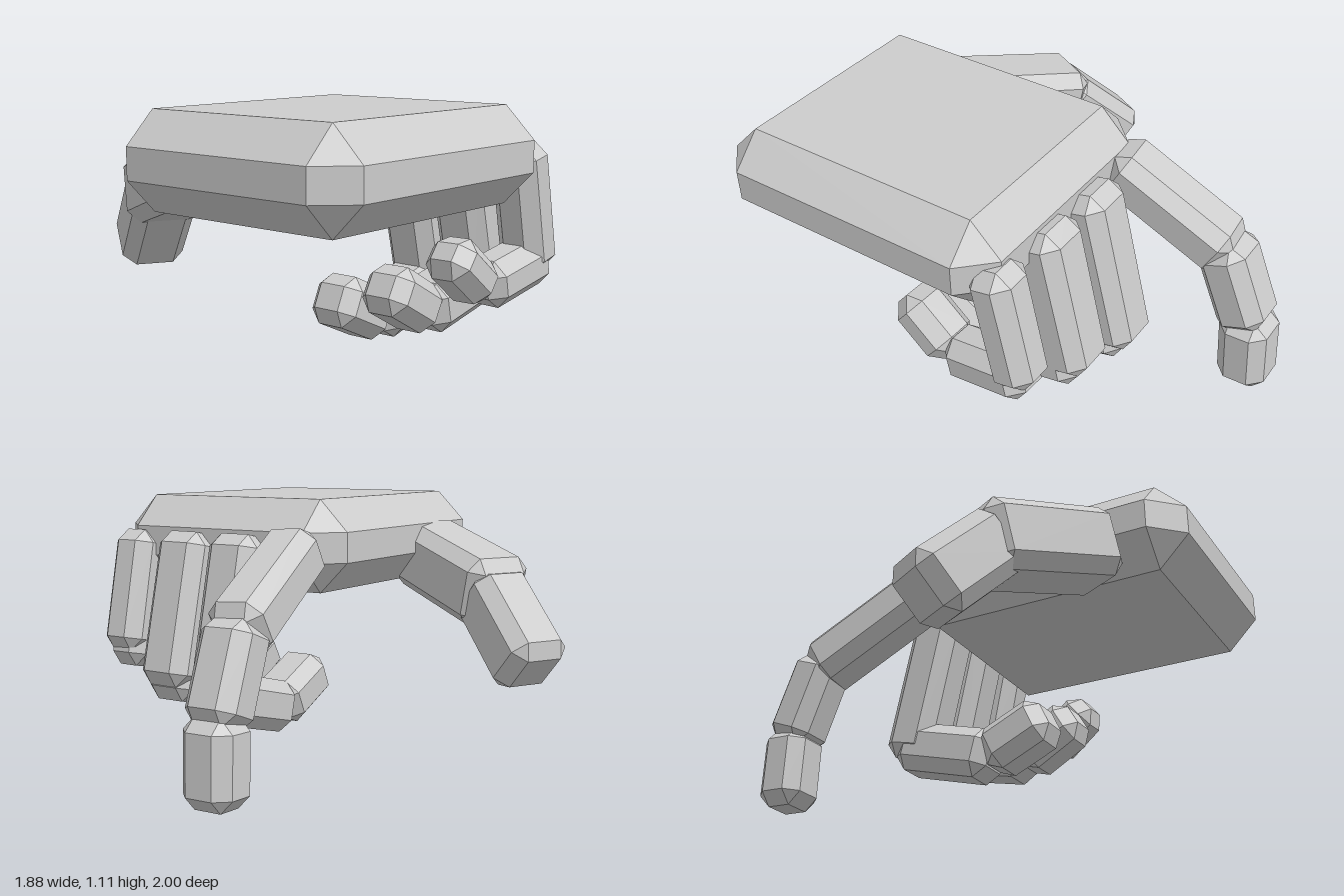
import * as THREE from 'three';
import { ConvexGeometry } from 'three/addons/geometries/ConvexGeometry.js';

const grey = new THREE.MeshStandardMaterial({ color: 0xcccccc });
grey.name = 'grey';

// Box with every edge cut at an angle: each corner becomes a small triangle
function bevelledBox(w, h, d, bevel) {
  const half = [w / 2, h / 2, d / 2];
  const points = [];
  for (const sx of [-1, 1]) for (const sy of [-1, 1]) for (const sz of [-1, 1]) {
    for (let outer = 0; outer < 3; outer++) {
      const [x, y, z] = half.map((v, i) => (i === outer ? v : v - bevel));
      points.push(new THREE.Vector3(sx * x, sy * y, sz * z));
    }
  }
  return new ConvexGeometry(points);
}

// Bevelled bone running from a to b; sideHint sets its roll
function bone(name, a, b, width, thickness, sideHint) {
  const start = new THREE.Vector3(...a), end = new THREE.Vector3(...b);
  const dir = end.clone().sub(start);
  const length = dir.length();
  dir.normalize();
  const side = new THREE.Vector3(...sideHint);
  side.addScaledVector(dir, -side.dot(dir)).normalize();
  const up = new THREE.Vector3().crossVectors(dir, side);
  const mesh = new THREE.Mesh(bevelledBox(width, thickness, length, 0.055), grey);
  mesh.quaternion.setFromRotationMatrix(new THREE.Matrix4().makeBasis(side, up, dir));
  mesh.position.copy(start).add(end).multiplyScalar(0.5);
  mesh.name = name;
  return mesh;
}

// side: roll hint; bones: [from, to, width, thickness]
const digits = {
  indexFinger: { side: [1, 0, 0], bones: [
    [[-0.03, 0.92, -0.25], [-0.09, 0.625, -0.77], 0.24, 0.235],
    [[-0.085, 0.68, -0.735], [-0.09, 0.30, -0.885], 0.235, 0.22],
    [[-0.09, 0.35, -0.88], [-0.095, 0, -0.895], 0.23, 0.215],
  ] },
  middleFinger: { side: [1, 0, 0], bones: [
    [[0.23, 0.95, -0.28], [0.23, 0.24, -0.45], 0.245, 0.23],
    [[0.23, 0.31, -0.49], [0.235, 0.19, -0.04], 0.24, 0.22],
    [[0.235, 0.19, -0.07], [0.235, 0.325, 0.225], 0.23, 0.215],
  ] },
  ringFinger: { side: [1, 0, 0], bones: [
    [[0.51, 0.95, -0.27], [0.515, 0.31, -0.42], 0.245, 0.22],
    [[0.515, 0.37, -0.46], [0.51, 0.27, 0], 0.24, 0.215],
    [[0.51, 0.26, -0.04], [0.505, 0.415, 0.235], 0.225, 0.205],
  ] },
  littleFinger: { side: [1, 0, 0], bones: [
    [[0.80, 0.95, -0.255], [0.80, 0.43, -0.365], 0.205, 0.195],
    [[0.80, 0.475, -0.41], [0.775, 0.40, -0.03], 0.205, 0.195],
    [[0.775, 0.395, -0.04], [0.765, 0.575, 0.185], 0.205, 0.185],
  ] },
  thumb: { side: [0.47, 0, -0.88], bones: [
    [[-0.10, 0.85, 0.635], [-0.645, 0.695, 0.35], 0.31, 0.30],
    [[-0.555, 0.73, 0.395], [-0.855, 0.405, 0.235], 0.275, 0.28],
  ] },
};

export function createModel() {
  const hand = new THREE.Group();
  hand.name = 'hand';

  // Palm
  const palm = new THREE.Mesh(bevelledBox(1.13, 0.385, 1.29, 0.13), grey);
  palm.position.set(0.365, 0.9125, 0.355);
  palm.name = 'palm';
  hand.add(palm);

  // Fingers and thumb
  for (const [name, { side, bones }] of Object.entries(digits)) {
    const digit = new THREE.Group();
    digit.name = name;
    bones.forEach(([a, b, w, t], i) => digit.add(bone(`${name}Bone${i + 1}`, a, b, w, t, side)));
    hand.add(digit);
  }
  return hand;
}
